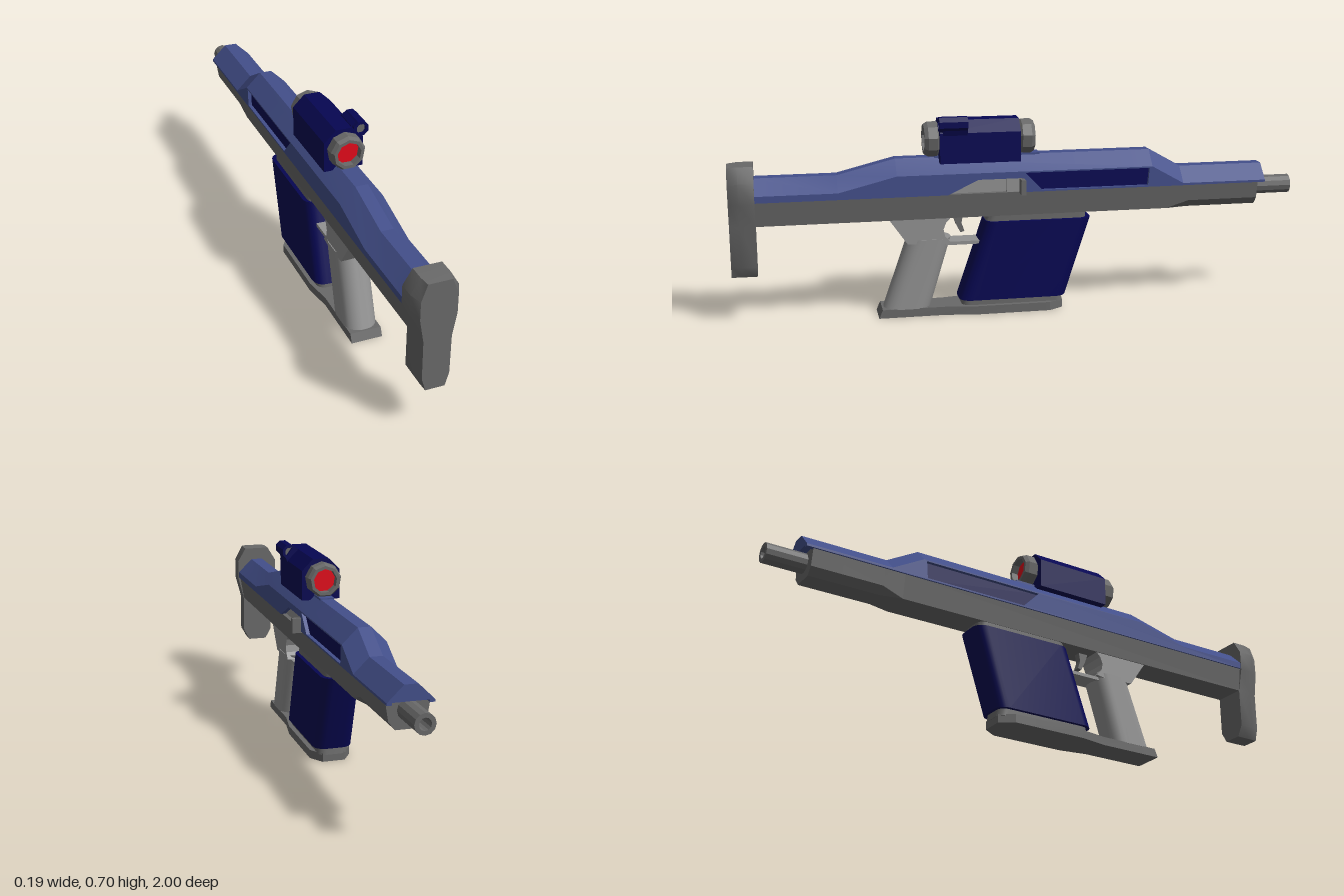
import * as THREE from 'three';
import { toCreasedNormals } from 'three/addons/utils/BufferGeometryUtils.js';

const dark = new THREE.MeshStandardMaterial({ color: 0x696969 });
const light = new THREE.MeshStandardMaterial({ color: 0x929292 });
const blue = new THREE.MeshStandardMaterial({ color: 0x434f8a });
const navy = new THREE.MeshStandardMaterial({ color: 0x060652 });
const red = new THREE.MeshStandardMaterial({ color: 0xe20a1a });

// Closed skin through equal-sized rings of [x, y, z], counter-clockwise seen from the last ring
function loft(rings, crease = 0.2) {
  const pos = [], n = rings[0].length;
  const tri = (...p) => p.forEach((v) => pos.push(...v));
  const centre = (r) => [0, 1, 2].map((k) => r.reduce((s, p) => s + p[k], 0) / n);
  const first = rings[0], last = rings[rings.length - 1];
  const c0 = centre(first), c1 = centre(last);
  for (let i = 0; i < n; i++) {
    const j = (i + 1) % n;
    for (let k = 0; k < rings.length - 1; k++) {
      const a = rings[k], b = rings[k + 1];
      tri(a[i], a[j], b[j]);
      tri(a[i], b[j], b[i]);
    }
    tri(c0, first[j], first[i]);
    tri(c1, last[i], last[j]);
  }
  const g = new THREE.BufferGeometry();
  g.setAttribute('position', new THREE.Float32BufferAttribute(pos, 3));
  return toCreasedNormals(g, crease);
}

// Mirrored cross-section at z: right-hand points [halfWidth, y] listed upwards
const section = (z, half) => [
  ...half.map(([x, y]) => [x, y, z]),
  ...half.slice().reverse().map(([x, y]) => [-x, y, z]),
];

// Rounded rectangle lying at height y
function roundRing(y, zc, hw, hd, r) {
  const out = [], corners = [[1, -1], [-1, -1], [-1, 1], [1, 1]];
  corners.forEach(([sx, sz], q) => {
    for (let i = 0; i <= 5; i++) {
      const a = (q + i / 5) * Math.PI / 2;
      out.push([sx * (hw - r) + r * Math.cos(a), y, zc + sz * (hd - r) - r * Math.sin(a)]);
    }
  });
  return out;
}

const toShape = (pts) => new THREE.Shape(pts.map(([a, b]) => new THREE.Vector2(a, b)));

// Side profile of [z, y] points given a thickness centred on x
function sideProfile(pts, width, x = 0, holes = []) {
  const s = toShape(pts);
  s.holes = holes.map(toShape);
  const g = new THREE.ExtrudeGeometry(s, { depth: width, bevelEnabled: false });
  return g.translate(0, 0, -width / 2).rotateY(-Math.PI / 2).translate(x, 0, 0);
}

// Outline of [x, y] points extruded from z0 to z1
function frontProfile(pts, z0, z1, hole) {
  const s = toShape(pts);
  if (hole) s.holes = [toShape(hole)];
  return new THREE.ExtrudeGeometry(s, { depth: z1 - z0, bevelEnabled: false }).translate(0, 0, z0);
}

const ngon = (n, r, x, y, turn = Math.PI / 2) => Array.from({ length: n }, (_, i) => {
  const a = turn + i * 2 * Math.PI / n;
  return [x + r * Math.cos(a), y + r * Math.sin(a)];
});

const box = (hw, y0, y1, z0, z1) =>
  new THREE.BoxGeometry(2 * hw, y1 - y0, z1 - z0).translate(0, (y0 + y1) / 2, (z0 + z1) / 2);

export function createModel() {
  const model = new THREE.Group();
  model.name = 'rifle';
  const body = new THREE.Group();
  body.name = 'body';
  body.position.x = -0.015;
  model.add(body);
  const add = (name, geometry, material) => {
    const m = new THREE.Mesh(geometry, material);
    m.name = name;
    body.add(m);
  };

  // Upper shell: chamfered roof over two side plates
  const roof = [[-0.885, 0.495], [-0.58, 0.495], [-0.465, 0.56], [0.435, 0.56], [0.635, 0.51], [0.915, 0.51]];
  const drop = 0.052;
  add('shellRoof', loft(roof.map(([z, t]) => section(z, [[0.075, t - drop], [0.022, t]]))), blue);
  const top = roof.map(([z, t]) => [z, t - drop]);
  const notch = [[0.26, 0.435], [0.155, 0.485], [0, 0.485], [0, 0.435]];
  const vent = [[-0.01, 0.503], [-0.455, 0.503], [-0.45, 0.441], [-0.07, 0.441]];
  for (const side of [1, -1]) {
    const outline = [...top, [0.915, 0.435], ...(side > 0 ? notch : []), [-0.885, 0.435]];
    add(side > 0 ? 'leftShell' : 'rightShell', sideProfile(outline, 0.016, side * 0.067, [vent]), blue);
  }
  add('ventPanel', box(0.062, 0.437, 0.507, -0.47, -0.004), navy);
  add('receiverCore', box(0.055, 0.42, 0.507, -0.004, 0.4), light);

  // Lower receiver: sides lean inwards, fore-end chamfered below
  const lower = (z, bw, x, y) => section(z, [[bw, 0.35], [x, y], [0.07, 0.436], [0.03, 0.438]]);
  add('lowerReceiver', loft([
    lower(-0.86, 0.038, 0.06, 0.376), lower(-0.605, 0.038, 0.06, 0.376),
    lower(-0.53, 0.056, 0.0563, 0.352), lower(0.915, 0.056, 0.0563, 0.352),
  ]), dark);
  add('foreEndCap', loft([-0.86, -0.6].map((z) => section(z, [[0.066, 0.43], [0.066, 0.443], [0.026, 0.48]]))), dark);
  add('barrel', frontProfile(ngon(12, 0.034, 0, 0.41), -1, -0.84, ngon(12, 0.02, 0, 0.41)), dark);
  add('boreEnd', frontProfile(ngon(12, 0.025, 0, 0.41), -0.93, -0.9), dark);

  // Charging handle on the left
  add('boltCarrier', new THREE.BoxGeometry(0.02, 0.05, 0.05).translate(0.057, 0.459, 0.03), light);
  add('chargingHandle', new THREE.BoxGeometry(0.057, 0.052, 0.016).translate(0.0785, 0.457, 0.002), dark);

  // Butt pad, bevelled towards the rear
  const pad = [[0.034, 0.17], [0.057, 0.21], [0.057, 0.35], [0.078, 0.43], [0.078, 0.503], [0.047, 0.555]];
  const padRear = [[0.032, 0.17], [0.045, 0.215], [0.046, 0.35], [0.06, 0.43], [0.06, 0.495], [0.04, 0.552]];
  add('buttPad', loft([section(0.912, pad), section(0.965, pad), section(1, padRear)], 0.7), dark);

  // Grip, trigger and guard
  add('grip', loft([roundRing(0.028, 0.403, 0.056, 0.083, 0.05), roundRing(0.275, 0.322, 0.056, 0.077, 0.05)], 0.6), light);
  add('gripTop', sideProfile([
    [0.465, 0.355], [0.4, 0.262], [0.29, 0.255], [0.25, 0.262], [0.27, 0.285], [0.275, 0.31], [0.265, 0.335], [0.245, 0.355],
  ], 0.106), light);
  add('triggerGuard', box(0.04, 0.249, 0.261, 0.13, 0.28), light);
  add('trigger', sideProfile([
    [0.24, 0.355], [0.225, 0.315], [0.21, 0.286], [0.196, 0.29], [0.206, 0.32], [0.2, 0.355],
  ], 0.025), dark);

  // Magazine with its collar and the base plate joining it to the grip
  add('magazine', loft([roundRing(0.05, 0.03, 0.068, 0.19, 0.04), roundRing(0.33, -0.0625, 0.068, 0.188, 0.04)], 0.6), navy);
  add('magazineCollar', loft([roundRing(0.325, -0.055, 0.054, 0.18, 0.03), roundRing(0.355, -0.06, 0.054, 0.175, 0.03)], 0.6), dark);
  add('magazineFoot', loft([roundRing(0.025, 0.03, 0.055, 0.182, 0.03), roundRing(0.052, 0.03, 0.055, 0.178, 0.03)], 0.6), dark);
  const plateRing = (y, heel) => {
    const plate = [[0.055, heel], [0.055, 0.27], [0.072, 0.17], [0.072, -0.1], [0.04, -0.15]];
    return [
      ...plate.map(([x, z]) => [x, y, z]),
      ...plate.slice().reverse().map(([x, z]) => [-x, y, z]),
    ];
  };
  add('basePlate', loft([plateRing(0, 0.505), plateRing(0.03, 0.492)]), dark);

  // Sight: faceted housing with a flared rim and a recessed lens at each end
  add('sightHousing', frontProfile([
    [-0.068, 0.543], [0.068, 0.543], [0.068, 0.648], [0.028, 0.688], [-0.028, 0.688], [-0.068, 0.648],
  ], 0.005, 0.285), navy);
  add('sightMount', box(0.025, 0.55, 0.564, -0.07, 0.3), blue);
  const rim = [[0.042, 0], [0.05, 0], [0.061, 0.01], [0.061, 0.042], [0.053, 0.055], [0.042, 0.055], [0.042, 0]]
    .map(([r, h]) => new THREE.Vector2(r, h));
  for (const [name, z, turn] of [['rear', 0.28, Math.PI], ['front', 0.005, 0]]) {
    const ring = new THREE.LatheGeometry(rim, 9).rotateX(-Math.PI / 2).rotateY(turn).translate(0, 0.62, z);
    add(name + 'SightRim', toCreasedNormals(ring, 0.2), dark);
    const lens = z + (turn ? 0.025 : -0.025);
    add(name + 'Lens', frontProfile(ngon(9, 0.044, 0, 0.62), lens - 0.005, lens + 0.005), red);
  }

  // Small side tube on the housing
  const turn = Math.PI / 8;
  add('sideTube', frontProfile(ngon(8, 0.027, 0.06, 0.679, turn), 0.19, 0.288, ngon(8, 0.017, 0.06, 0.679, turn)), navy);
  add('sideTubeLens', frontProfile(ngon(8, 0.019, 0.06, 0.679, turn), 0.2, 0.28), dark);
  add('sideTubeBracket', frontProfile([[0.02, 0.67], [0.068, 0.64], [0.075, 0.66], [0.045, 0.7], [0.03, 0.69]], 0.19, 0.275), navy);
  return model;
}
